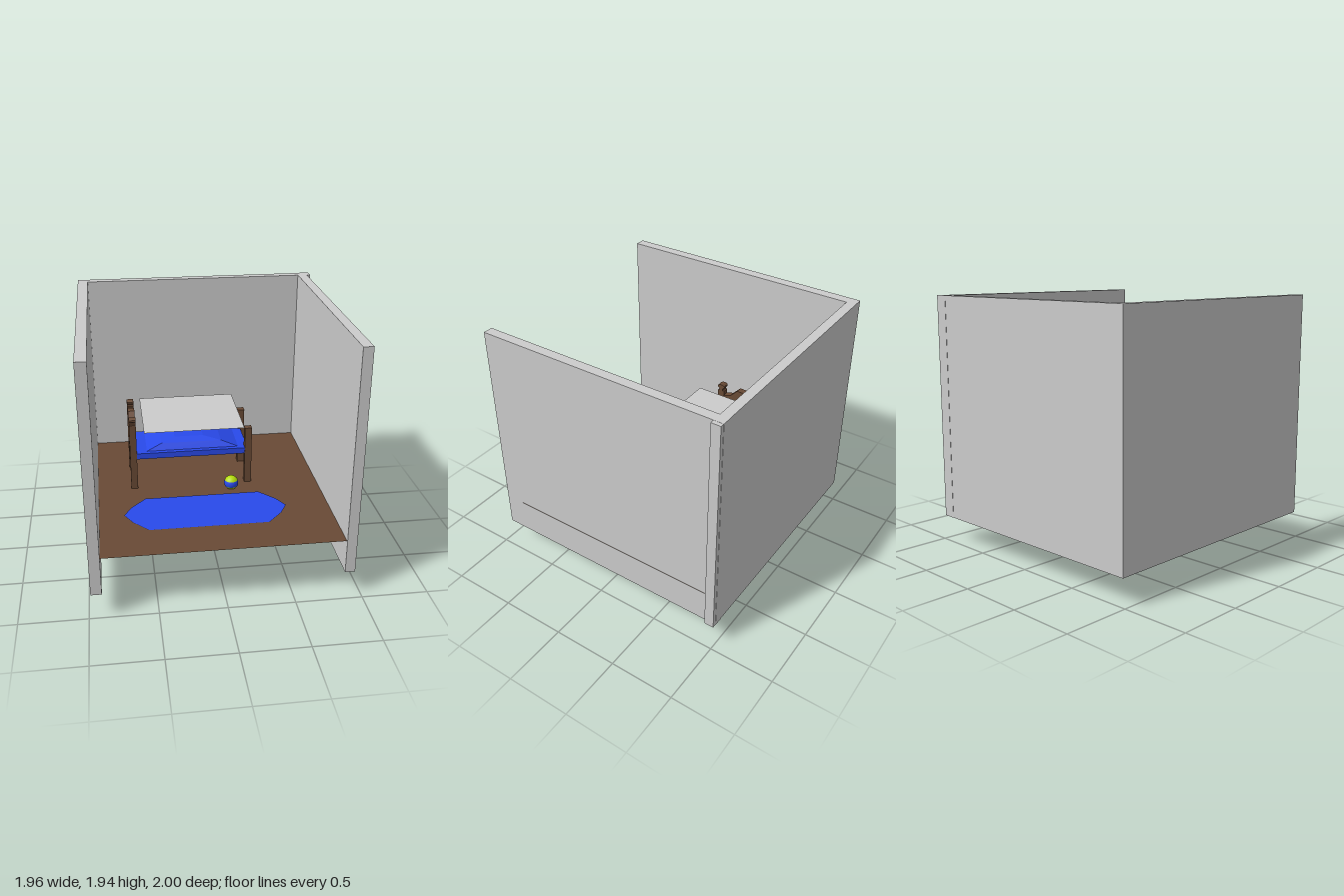
import * as THREE from 'three';

const mat = (color) => new THREE.MeshStandardMaterial({ color, flatShading: true, side: THREE.DoubleSide });
const grey = mat(0xcccccc), brown = mat(0x694a35), blue = mat(0x294aeb), lime = mat(0xb4dc0c);

export function createModel() {
  const room = new THREE.Group();
  room.name = 'bedroom';

  const add = (name, geometry, material, parent = room) => {
    const mesh = new THREE.Mesh(geometry, material);
    mesh.name = name;
    parent.add(mesh);
    return mesh;
  };
  // Box from its lower and upper corners
  const box = (name, x0, x1, y0, y1, z0, z1, material, parent) => {
    const mesh = add(name, new THREE.BoxGeometry(x1 - x0, y1 - y0, z1 - z0), material, parent);
    mesh.position.set((x0 + x1) / 2, (y0 + y1) / 2, (z0 + z1) / 2);
    return mesh;
  };
  // Flat horizontal sheet from x, z outline points
  const sheet = (name, points, y, material) => {
    const shape = new THREE.Shape(points.map(([x, z]) => new THREE.Vector2(x, -z)));
    const mesh = add(name, new THREE.ShapeGeometry(shape).rotateX(-Math.PI / 2), material);
    mesh.position.y = y;
    return mesh;
  };
  const rect = (x0, x1, z0, z1) => [[x0, z1], [x1, z1], [x1, z0], [x0, z0]];

  // Walls
  box('backWall', -0.98, 0.975, 0.2, 1.935, -0.998, -0.925, grey);
  box('rightWall', -0.98, -0.9, 0.2, 1.935, -0.925, 1, grey);
  box('leftWall', 0.87, 0.945, 0.2, 1.936, -1, 0.955, grey);

  // Floor and rug
  sheet('floor', rect(-0.9, 0.947, -0.925, 0.943), 0.46, brown);
  const end = [[0.45, -0.235], [0.565, -0.11], [0.625, 0], [0.565, 0.11], [0.45, 0.235]];
  const rug = [...end, ...end.map(([x, z]) => [-x, -z])].reverse();
  sheet('rug', rug.map(([x, z]) => [x - 0.085, z + 0.385]), 0.466, blue);

  // Bed
  const bed = new THREE.Group();
  bed.name = 'bed';
  room.add(bed);
  box('bedFrame', -0.6, 0.307, 0.72, 0.768, -0.464, -0.041, blue, bed);
  for (const z of [-0.465, -0.095]) {
    box('footPost', 0.284, 0.339, 0, 0.94, z, z + 0.055, brown, bed);
    box('headPost', -0.635, -0.582, 0.085, 1.016, z, z + 0.055, brown, bed);
    // Finial: narrow neck below a bevelled cap
    box('finialNeck', -0.635, -0.582, 1.016, 1.035, z + 0.012, z + 0.043, brown, bed);
    const cap = add('finialCap', new THREE.CylinderGeometry(0.032, 0.032, 0.053, 8), brown, bed);
    cap.geometry.rotateY(Math.PI / 8).rotateZ(Math.PI / 2).scale(1, 0.62, 1);
    cap.position.set(-0.6085, 1.052, z + 0.0275);
  }

  // Headboard panel with a stepped arch, extruded across its thickness
  const half = [[0.165, 0.745], [0.165, 0.975], [0.097, 0.995], [0.033, 1.062]];
  const outline = [...half, ...half.map(([s, y]) => [-s, y]).reverse()];
  const panel = new THREE.Shape(outline.map(([s, y]) => new THREE.Vector2(s, y)));
  const headboard = add('headboard',
    new THREE.ExtrudeGeometry(panel, { depth: 0.053, bevelEnabled: false }).rotateY(Math.PI / 2), brown, bed);
  headboard.position.set(-0.635, 0, -0.2525);

  // Domed quilt: stacked rectangular cross-sections
  const rings = [
    [-0.505, 0.24, 0.175, 0.766], [-0.38, 0.1, 0.14, 0.816],
    [-0.27, -0.04, 0.08, 0.84],
  ];
  const pos = [], index = [];
  for (const [x0, x1, h, y] of rings)
    for (const [x, z] of rect(x0, x1, -0.2525 - h, -0.2525 + h)) pos.push(x, y, z);
  for (let r = 0; r < rings.length - 1; r++)
    for (let i = 0; i < 4; i++) {
      const a = r * 4 + i, b = r * 4 + (i + 1) % 4;
      index.push(a, b, b + 4, a, b + 4, a + 4);
    }
  index.push(8, 9, 10, 8, 10, 11);
  const quilt = new THREE.BufferGeometry();
  quilt.setAttribute('position', new THREE.Float32BufferAttribute(pos, 3));
  quilt.setIndex(index);
  quilt.computeVertexNormals();
  add('quilt', quilt, blue, bed);

  // Flat sheet above the bed
  sheet('canopy', rect(-0.525, 0.255, -0.6, 0.1), 1.01, grey);

  // Striped ball
  const ball = new THREE.Group();
  ball.name = 'ball';
  ball.position.set(0.16, 0.519, 0.063);
  room.add(ball);
  const t = Math.acos(0.42);
  for (const [name, start, length, color] of [
    ['ballTop', 0, t, lime.color], ['ballBand', t, Math.PI - 2 * t, blue.color], ['ballBottom', Math.PI - t, t, lime.color],
  ]) {
    const smooth = new THREE.MeshStandardMaterial({ color });
    add(name, new THREE.SphereGeometry(0.057, 24, 8, 0, Math.PI * 2, start, length), smooth, ball);
  }

  return room;
}
